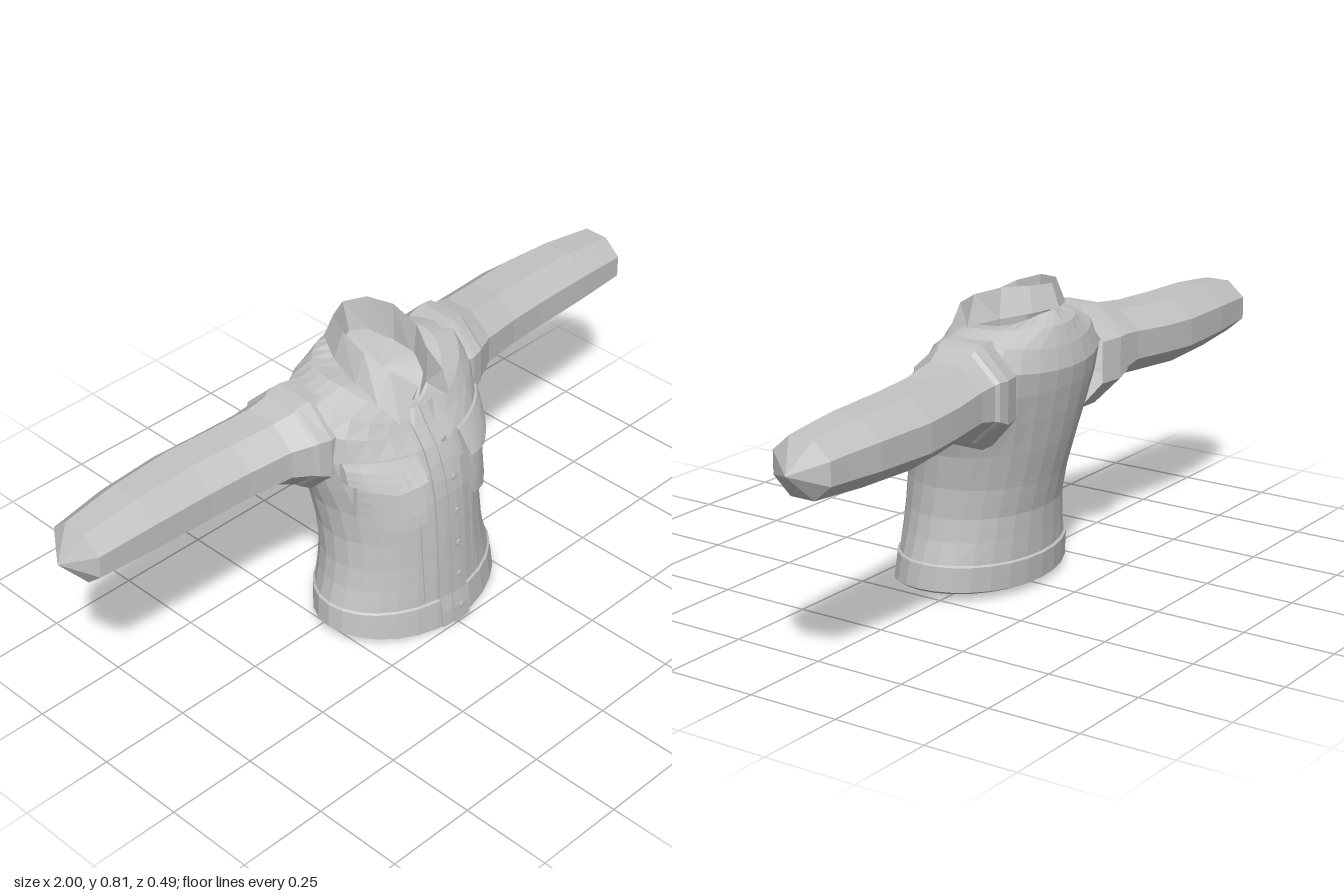
import * as THREE from 'three';

const fabric = new THREE.MeshStandardMaterial({ color: 0xc2c2c2, side: THREE.DoubleSide });
fabric.name = 'light grey fabric';
const V = (x, y, z) => new THREE.Vector3(x, y, z);
const lerp = THREE.MathUtils.lerp;

function flatMesh(name, geometry) {
  const g = geometry.index ? geometry.toNonIndexed() : geometry;
  g.computeVertexNormals();
  const mesh = new THREE.Mesh(g, fabric);
  mesh.name = name;
  return mesh;
}

// Skin a list of point rings; zero-size rings act as caps
function loft(name, rings, closed = true) {
  const pts = [];
  const tri = (a, b, c) => {
    if (a.distanceTo(b) > 1e-6 && b.distanceTo(c) > 1e-6 && c.distanceTo(a) > 1e-6) pts.push(a, b, c);
  };
  for (let i = 0; i < rings.length - 1; i++) {
    const n = rings[i].length;
    for (let j = 0; j < (closed ? n : n - 1); j++) {
      const k = (j + 1) % n;
      tri(rings[i][j], rings[i][k], rings[i + 1][k]);
      tri(rings[i][j], rings[i + 1][k], rings[i + 1][j]);
    }
  }
  return flatMesh(name, new THREE.BufferGeometry().setFromPoints(pts));
}

// Torso sections: half width, front z, back z, then y at front, side and back
const BODY = [
  [0.272, 0.232, -0.138, 0.003, 0.028, 0.018],
  [0.282, 0.241, -0.146, 0.006, 0.036, 0.022],
  [0.274, 0.234, -0.152, 0.090, 0.100, 0.092],
  [0.268, 0.228, -0.146, 0.094, 0.104, 0.096],
  [0.250, 0.225, -0.149, 0.160, 0.160, 0.160],
  [0.238, 0.222, -0.153, 0.220, 0.220, 0.220],
  [0.234, 0.218, -0.172, 0.300, 0.300, 0.300],
  [0.243, 0.210, -0.200, 0.400, 0.390, 0.400],
  [0.262, 0.194, -0.220, 0.480, 0.460, 0.490],
  [0.284, 0.165, -0.234, 0.545, 0.550, 0.560],
  [0.290, 0.135, -0.241, 0.585, 0.635, 0.610],
  [0.250, 0.120, -0.228, 0.610, 0.695, 0.665],
  [0.170, 0.112, -0.210, 0.622, 0.716, 0.715],
  [0.095, 0.102, -0.180, 0.640, 0.705, 0.748],
];

function bodyRing([w, zf, zb, yf, ys, yb]) {
  return Array.from({ length: 28 }, (_, j) => {
    const a = (j / 28) * Math.PI * 2, c = Math.cos(a);
    const y = ys + ((c > 0 ? yf : yb) - ys) * c * c;
    return V(w * Math.sin(a), y, (zf + zb) / 2 + ((zf - zb) / 2) * c);
  });
}

// Depth of the torso front at a given x and y
function frontZ(x, y) {
  let i = 1;
  while (i < BODY.length - 2 && BODY[i + 1][3] < y) i++;
  const a = BODY[i], b = BODY[i + 1];
  const t = THREE.MathUtils.clamp((y - a[3]) / (b[3] - a[3]), 0, 1);
  const [w, zf, zb] = [0, 1, 2].map((k) => lerp(a[k], b[k], t));
  return (zf + zb) / 2 + ((zf - zb) / 2) * Math.sqrt(Math.max(0, 1 - (x / w) ** 2));
}

// Raised cloth panel wrapped on the torso front; top and bottom are functions of u
function panel(name, x0, x1, top, bottom, raise, nx, ny) {
  const g = new THREE.BoxGeometry(1, 1, 1, nx, ny, 1);
  const p = g.attributes.position;
  for (let i = 0; i < p.count; i++) {
    const u = p.getX(i) + 0.5, v = p.getY(i) + 0.5;
    const x = lerp(x0, x1, u), y = lerp(bottom(u), top(u), v);
    p.setXYZ(i, x, y, frontZ(x, y) + (p.getZ(i) > 0 ? raise(v) : -0.012));
  }
  return flatMesh(name, g);
}

// Sleeve sections: x, bottom y, top y, back z, front z
const SLEEVE = [
  [0.20, 0.430, 0.700, -0.200, 0.040],
  [0.26, 0.435, 0.704, -0.218, 0.050],
  [0.295, 0.458, 0.698, -0.218, 0.042],
  [0.305, 0.466, 0.688, -0.210, 0.034],
  [0.36, 0.488, 0.672, -0.210, 0.010],
  [0.48, 0.484, 0.661, -0.224, -0.010],
  [0.60, 0.478, 0.658, -0.234, -0.020],
  [0.78, 0.482, 0.652, -0.224, -0.026],
  [0.88, 0.487, 0.642, -0.210, -0.032],
  [0.94, 0.490, 0.635, -0.203, -0.036],
  [1.00, 0.558, 0.558, -0.120, -0.120],
];

function sleeve(side) {
  const rings = SLEEVE.map(([x, y0, y1, z0, z1]) => Array.from({ length: 8 }, (_, j) => {
    const a = ((j + 0.5) / 8) * Math.PI * 2, k = 1 / Math.cos(Math.PI / 8);
    return V(side * x, (y0 + y1) / 2 + ((y1 - y0) / 2) * k * Math.cos(a),
      (z0 + z1) / 2 + ((z1 - z0) / 2) * k * Math.sin(a));
  }));
  return loft(side > 0 ? 'leftSleeve' : 'rightSleeve', side > 0 ? rings : rings.reverse());
}

// Collar half, from back centre to front tip: outer edge, fold, inner base
const COLLAR = [
  [V(0, 0.755, -0.195), V(0, 0.815, -0.172), V(0, 0.735, -0.150)],
  [V(0.075, 0.750, -0.165), V(0.060, 0.815, -0.145), V(0.055, 0.720, -0.130)],
  [V(0.113, 0.732, -0.090), V(0.090, 0.808, -0.080), V(0.083, 0.695, -0.070)],
  [V(0.125, 0.702, 0), V(0.094, 0.780, 0), V(0.083, 0.680, 0)],
  [V(0.117, 0.665, 0.070), V(0.068, 0.745, 0.062), V(0.060, 0.660, 0.055)],
  [V(0.090, 0.622, 0.122), V(0.014, 0.695, 0.110), V(0.010, 0.640, 0.090)],
];

export function createModel() {
  const jacket = new THREE.Group();
  jacket.name = 'jacket';

  // Torso with closed hem and neck
  const rings = BODY.map(bodyRing);
  const cap = (n, p) => Array.from({ length: n }, () => p);
  jacket.add(loft('torso', [cap(28, V(0, 0.014, 0.045)), ...rings, cap(28, V(0, 0.685, -0.03))]));

  // Collar
  const mirrored = COLLAR.slice(1).reverse().map((s) => s.map((p) => V(-p.x, p.y, p.z)));
  jacket.add(loft('collar', [...mirrored, ...COLLAR], false));

  // Button placket, with a narrow centre strip
  jacket.add(panel('placket', -0.05, 0.05, () => 0.635, () => 0.008, () => 0.006, 4, 14));
  jacket.add(panel('placketStrip', -0.012, 0.044, () => 0.635, () => 0.008, () => 0.010, 2, 14));

  // Buttons
  for (let i = 0; i < 6; i++) {
    const y = 0.05 + i * 0.1;
    const g = new THREE.CylinderGeometry(0.009, 0.009, 0.006, 8).rotateX(Math.PI / 2);
    g.translate(0.016, y, frontZ(0.016, y) + 0.011);
    jacket.add(flatMesh('button', g));
  }

  for (const s of [1, -1]) {
    jacket.add(sleeve(s));
    const side = s > 0 ? 'left' : 'right';
    // Panels are laid out from low x to high x; f runs from the inner to the outer edge
    const add = (name, inner, outer, top, bottom, raise, nx, ny) => {
      const f = (fn) => (u) => fn(s > 0 ? u : 1 - u);
      jacket.add(panel(side + name, s > 0 ? inner : -outer, s > 0 ? outer : -inner,
        f(top), f(bottom), raise, nx, ny));
    };
    const point = (u) => 1 - Math.abs(u * 2 - 1);
    // Chest pocket
    add('Pocket', 0.085, 0.226, (u) => 0.5, (u) => 0.368 + 0.022 * u - 0.034 * point(u),
      (v) => lerp(0.020, 0.010, v), 6, 4);
    // Pointed pocket flap, lifting towards its lower edge
    add('PocketFlap', 0.078, 0.246, (u) => 0.545 + 0.01 * u, (u) => 0.486 + 0.012 * u - 0.024 * point(u),
      (v) => lerp(0.030, 0.010, v), 6, 3);
    // Front seam running from the pocket to the hem
    add('FrontSeam', 0.088, 0.094, () => 0.37, () => 0.1, () => 0.004, 1, 6);
  }
  return jacket;
}
